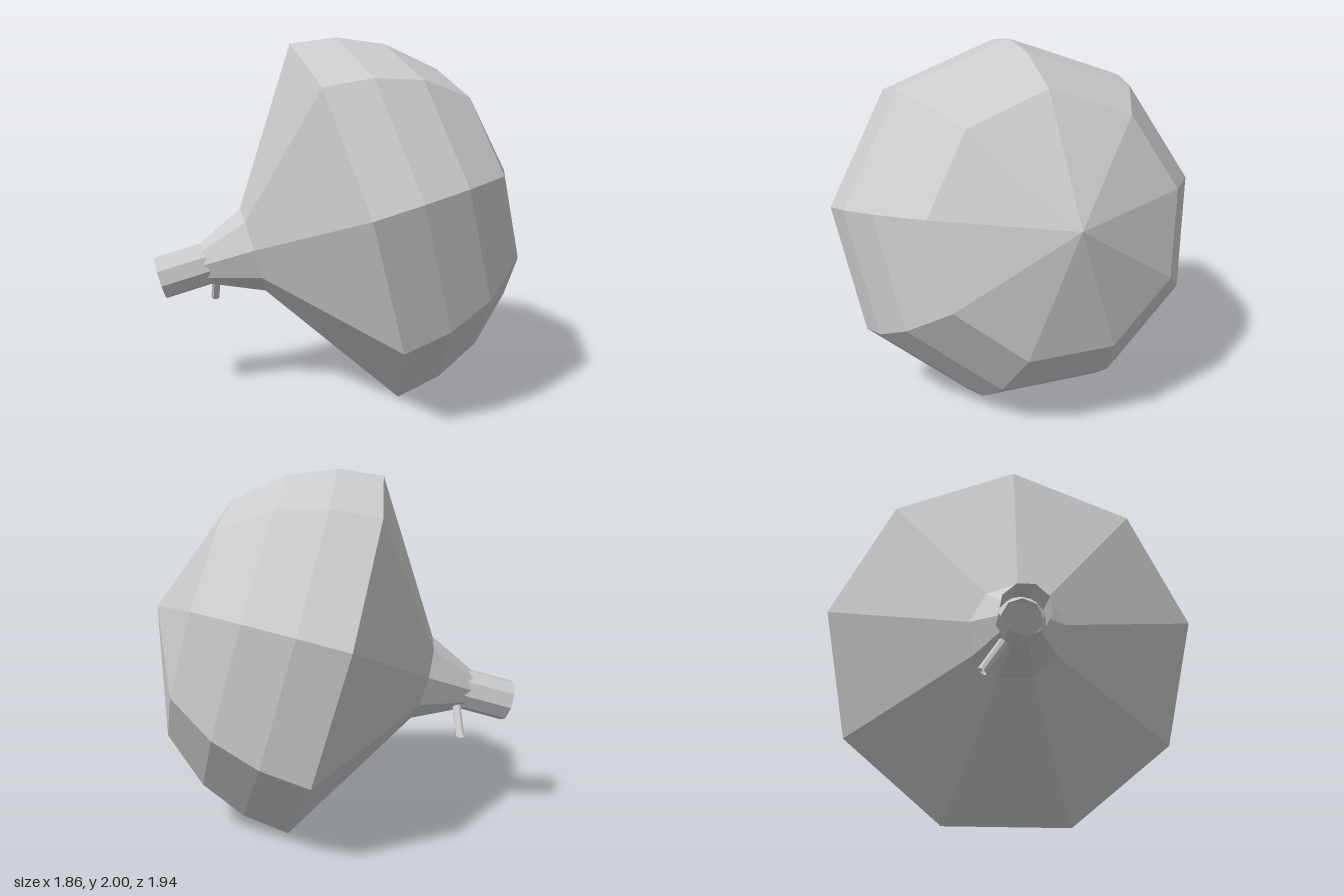
import * as THREE from 'three';

const SIDES = 9;
const R = 1.05; // radius of the dome

const material = new THREE.MeshStandardMaterial({
  color: 0xcccccc, flatShading: true, side: THREE.DoubleSide,
});

// Faceted solid turned about y from [radius, height] pairs
function turned(name, profile, sides = SIDES, start = 0) {
  const points = profile.map(([r, y]) => new THREE.Vector2(r, y));
  const mesh = new THREE.Mesh(new THREE.LatheGeometry(points, sides, start), material);
  mesh.name = name;
  return mesh;
}

export function createModel() {
  const model = new THREE.Group();
  model.name = 'faceted bulb';

  // Tilted frame: y runs along the axis towards the neck, z is the upper side
  const tilt = THREE.MathUtils.degToRad(15.4);
  const s = Math.sin(tilt), c = Math.cos(tilt);
  const side = new THREE.Vector3(-0.8, 0, -0.6);
  const axis = new THREE.Vector3(-0.6 * c, -s, 0.8 * c);
  const upper = new THREE.Vector3(-0.6 * s, c, 0.8 * s);
  const bulb = new THREE.Group();
  bulb.name = 'bulb';
  bulb.quaternion.setFromRotationMatrix(new THREE.Matrix4().makeBasis(side, axis, upper));
  bulb.position.set(-0.072, 0.952, 0.078);
  model.add(bulb);

  // Dome rings at equal steps along the axis, then the cone and tapering neck
  const profile = [];
  for (let i = 4; i >= 0; i--) {
    const t = i / 4;
    profile.push([R * Math.sqrt(1 - t * t), -R * t]);
  }
  profile.push([0.248, 0.527], [0.1, 0.84]);
  bulb.add(turned('body', profile));

  // Open spout, turned half a facet against the neck
  bulb.add(turned('spout', [[0.121, 0.7], [0.121, 1.06]], SIDES, Math.PI));

  // Small open side pipe under the neck
  const from = new THREE.Vector3(-0.535, 0.705, 0.615);
  const to = new THREE.Vector3(-0.645, 0.5, 0.545);
  const dir = to.clone().sub(from);
  const pipe = turned('sidePipe', [[0.025, 0], [0.025, dir.length()]], 8);
  pipe.position.copy(from);
  pipe.quaternion.setFromUnitVectors(new THREE.Vector3(0, 1, 0), dir.normalize());
  model.add(pipe);

  return model;
}
